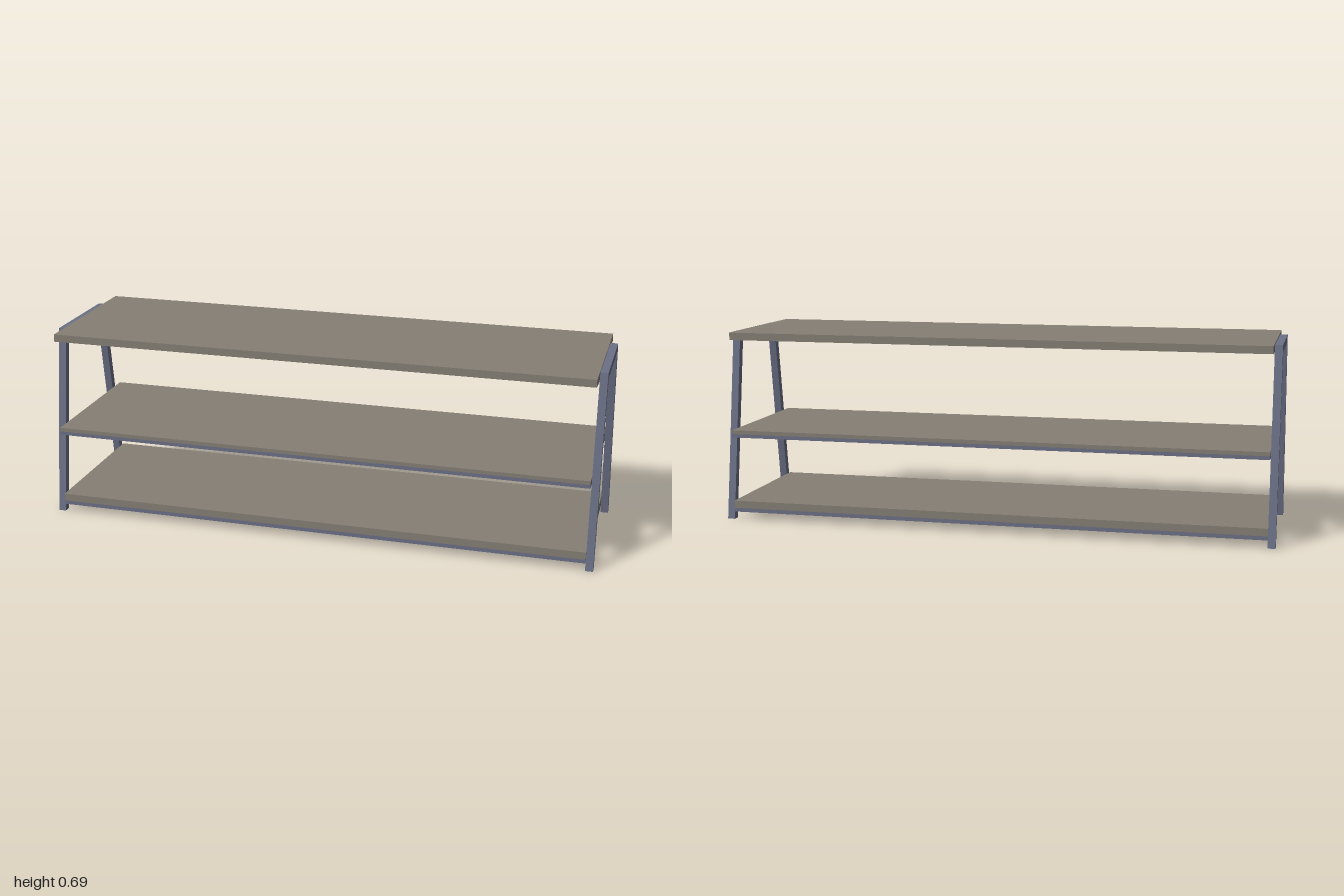
import * as THREE from 'three';

export function createModel() {
  const model = new THREE.Group();
  model.name = 'shelfUnit';
  const wood = new THREE.MeshStandardMaterial({ name: 'greyWood', color: 0x867f75 });
  const metal = new THREE.MeshStandardMaterial({ name: 'blueGreyMetal', color: 0x6c7187 });

  const X = 0.973, Z = 0.276; // half length and half depth of the shelves

  function add(name, geometry, material) {
    const mesh = new THREE.Mesh(geometry, material);
    mesh.name = name;
    model.add(mesh);
    return mesh;
  }

  // Box given by its x, y and z ranges
  function box(name, [x0, x1], [y0, y1], [z0, z1], material) {
    const mesh = add(name, new THREE.BoxGeometry(x1 - x0, y1 - y0, z1 - z0), material);
    mesh.position.set((x0 + x1) / 2, (y0 + y1) / 2, (z0 + z1) / 2);
  }

  // Boards
  box('topShelf', [-X, X], [0.665, 0.692], [-Z, Z], wood);
  box('middleShelf', [-X, X], [0.319, 0.333], [-Z, Z], wood);
  box('bottomShelf', [-X, X], [0.042, 0.069], [-Z, Z], wood);

  // Rectangular metal rims under the two lower boards
  function rect(PathType, x, z) {
    return new PathType([[-x, -z], [x, -z], [x, z], [-x, z]].map(p => new THREE.Vector2(...p)));
  }
  function rim(name, y, height) {
    const shape = rect(THREE.Shape, X, Z);
    shape.holes.push(rect(THREE.Path, X - 0.02, Z - 0.02));
    const geometry = new THREE.ExtrudeGeometry(shape, { depth: height, bevelEnabled: false });
    geometry.rotateX(-Math.PI / 2);
    add(name, geometry, metal).position.y = y;
  }
  rim('middleRim', 0.306, 0.013);
  rim('bottomRim', 0.028, 0.014);

  // Trapezoid end frames: two splayed legs joined by a top bar
  const half = [[0.276, 0], [0.177, 0.686]];
  const inner = [[0.153, 0.66], [0.25, 0]];
  const flip = list => list.map(([z, y]) => [-z, y]).reverse();
  const outline = [...half, ...flip(half), ...flip(inner), ...inner];
  const frameShape = new THREE.Shape(outline.map(p => new THREE.Vector2(...p)));
  for (const side of [1, -1]) {
    const label = side > 0 ? 'left' : 'right';
    const geometry = new THREE.ExtrudeGeometry(frameShape, { depth: 0.027, bevelEnabled: false });
    geometry.rotateY(Math.PI / 2);
    add(label + 'EndFrame', geometry, metal).position.x = side > 0 ? X : -1;

    // Flat bracket carrying the top board
    const xs = [side * (X - 0.027), side * X].sort((a, b) => a - b);
    box(label + 'TopBracket', xs, [0.661, 0.673], [-0.232, 0.232], metal);
  }

  return model;
}
